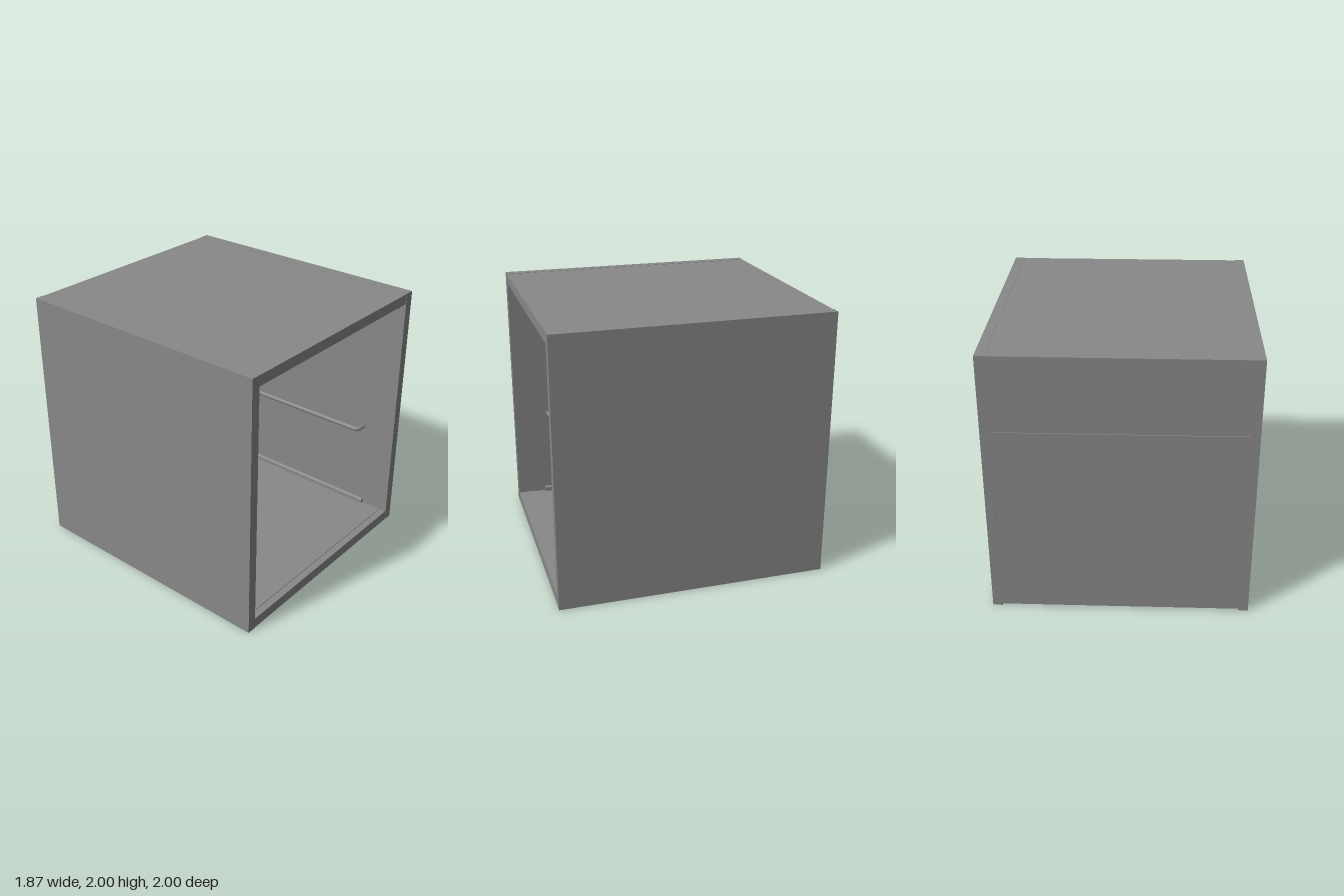
import * as THREE from 'three';

export function createModel() {
  const cab = new THREE.Group();
  cab.name = 'liftCab';
  const steel = new THREE.MeshStandardMaterial({ color: 0x888888 });
  steel.name = 'brushed steel';

  const add = (name, geometry, x = 0, y = 0, z = 0) => {
    const mesh = new THREE.Mesh(geometry, steel);
    mesh.name = name;
    mesh.position.set(x, y, z);
    cab.add(mesh);
    return mesh;
  };
  // Box given by its limits on each axis
  const slab = (name, x0, x1, y0, y1, z0, z1) =>
    add(name, new THREE.BoxGeometry(x1 - x0, y1 - y0, z1 - z0),
      (x0 + x1) / 2, (y0 + y1) / 2, (z0 + z1) / 2);

  const inner = 0.865, back = -0.945;

  // Shell
  slab('rightWall', -0.935, -inner, 0, 2, -1, 1);
  slab('leftWall', inner, 0.935, 0, 2, -1, 1);
  slab('roof', -inner, inner, 1.92, 1.998, -0.998, 0.998);
  slab('floor', -inner, inner, 0.012, 0.075, -0.998, 0.97);
  slab('lowerBackPanel', -inner, inner, 0.012, 1.443, -0.998, back);
  slab('upperBackPanel', -inner, inner, 1.447, 1.92, -0.998, back);
  slab('backSeam', -inner, inner, 1.44, 1.45, -0.99, back - 0.006);

  // Door sill with a guide groove between its two strips
  slab('sillFront', -inner, inner, 0, 0.08, 0.955, 0.998);
  slab('sillRear', -inner, inner, 0.07, 0.08, 0.87, 0.94);

  // Skirting with a rounded top edge
  const skirtShape = new THREE.Shape();
  skirtShape.moveTo(0, 0);
  skirtShape.lineTo(0.025, 0);
  skirtShape.lineTo(0.025, 0.025);
  skirtShape.quadraticCurveTo(0.025, 0.04, 0.01, 0.04);
  skirtShape.lineTo(0, 0.04);
  const skirting = (name, length, x, z, turn) => {
    const geometry = new THREE.ExtrudeGeometry(skirtShape,
      { depth: length, bevelEnabled: false, curveSegments: 5 });
    geometry.translate(0, 0, -length / 2);
    add(name, geometry, x, 0.075, z).rotation.y = turn;
  };
  skirting('backSkirting', 1.69, 0, back, -Math.PI / 2);
  skirting('rightSkirting', 1.72, -inner, -0.085, 0);
  skirting('leftSkirting', 1.72, inner, -0.085, Math.PI);

  // Hung ceiling panel, its edge coves and lamps
  slab('ceilingPanel', -0.81, 0.8, 1.88, 1.908, -0.88, 0.9);
  slab('ceilingSpacer', -0.7, 0.7, 1.905, 1.925, -0.8, 0.8);
  for (const side of [-1, 1]) {
    const x = side * 0.86;
    slab('ceilingCove', x - 0.005, x + 0.005, 1.865, 1.925, -0.94, 0.95);
    slab('coveLedge', side * 0.835 - 0.025, side * 0.835 + 0.025, 1.895, 1.905, -0.94, 0.95);
    for (const z of [-0.5, 0.5]) {
      const lamp = new THREE.SphereGeometry(0.055, 20, 8, 0, Math.PI * 2, Math.PI / 2, Math.PI / 2);
      add('lamp', lamp, side * 0.56, 1.885, z);
    }
  }

  // Handrails: a straight tube whose ends bend back to the wall
  const handrail = (name, half, reach, x, y, z, turn) => {
    const v = (a, b) => new THREE.Vector3(a, 0, b);
    const path = new THREE.CurvePath();
    const r = 0.035;
    path.add(new THREE.LineCurve3(v(-half, 0), v(-half, reach - r)));
    path.add(new THREE.QuadraticBezierCurve3(v(-half, reach - r), v(-half, reach), v(-half + r, reach)));
    path.add(new THREE.LineCurve3(v(-half + r, reach), v(half - r, reach)));
    path.add(new THREE.QuadraticBezierCurve3(v(half - r, reach), v(half, reach), v(half, reach - r)));
    path.add(new THREE.LineCurve3(v(half, reach - r), v(half, 0)));
    add(name, new THREE.TubeGeometry(path, 160, 0.018, 10), x, y, z).rotation.y = turn;
    for (const end of [-1, 1]) {
      const rose = new THREE.CylinderGeometry(0.027, 0.027, 0.012, 14);
      rose.rotateX(Math.PI / 2);
      rose.translate(end * half, 0, 0.006);
      add(name + 'Mount', rose, x, y, z).rotation.y = turn;
    }
  };
  handrail('backHandrail', 0.69, 0.08, 0, 0.78, back, 0);
  handrail('rightHandrail', 0.74, 0.08, -inner, 0.79, -0.02, Math.PI / 2);
  handrail('leftHandrail', 0.74, 0.08, inner, 0.79, -0.02, -Math.PI / 2);

  return cab;
}
